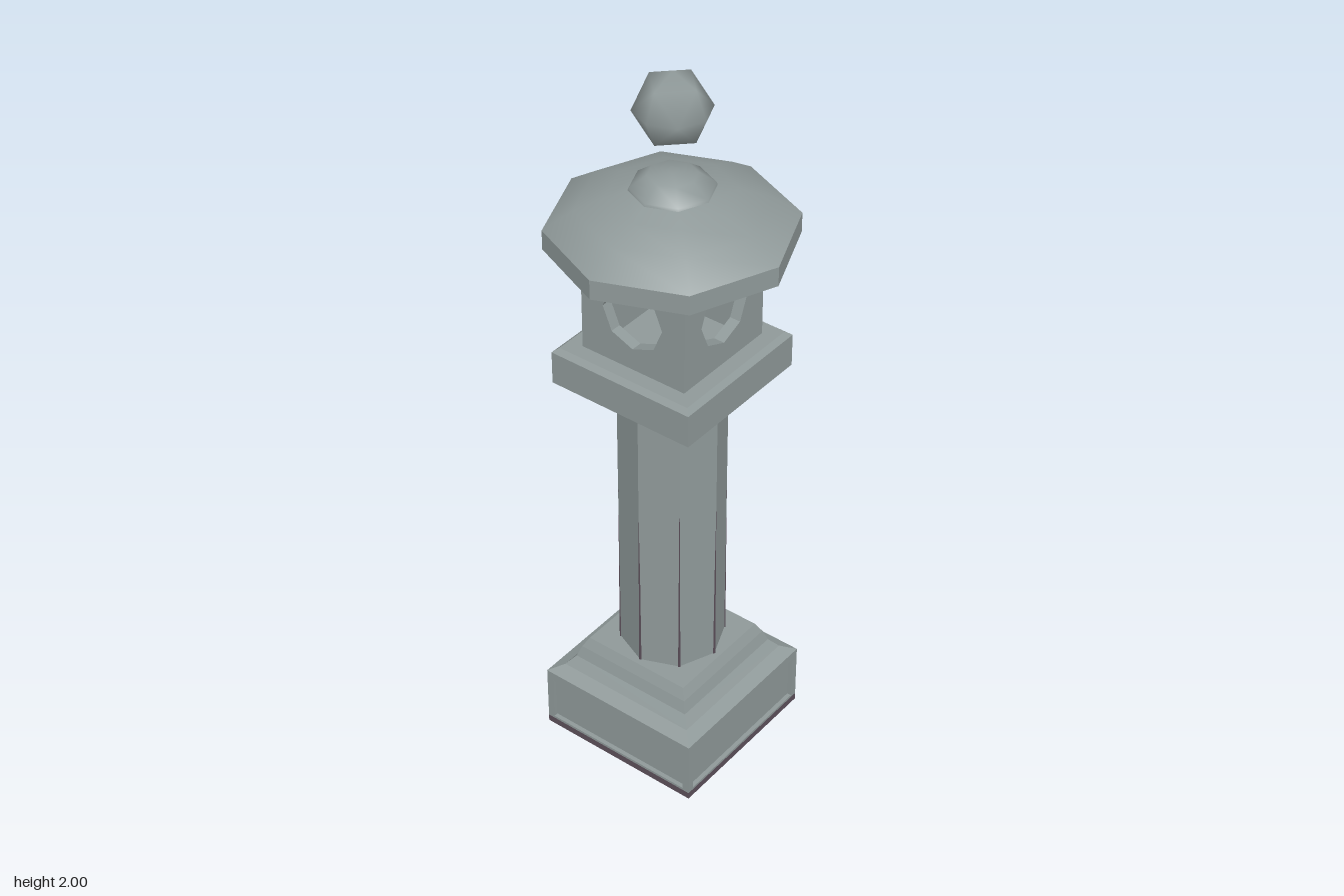
import * as THREE from 'three';
import { toCreasedNormals } from 'three/addons/utils/BufferGeometryUtils.js';

export function createModel() {
  const model = new THREE.Group();
  model.name = 'stoneLantern';
  const stone = new THREE.MeshStandardMaterial({ color: 0x8f9999 });
  stone.name = 'stone';
  const dark = new THREE.MeshStandardMaterial({ color: 0x5d505b });
  dark.name = 'dark stone';

  const add = (name, geometry, material = stone, parent = model) => {
    const mesh = new THREE.Mesh(geometry, material);
    mesh.name = name;
    parent.add(mesh);
    return mesh;
  };
  const group = (name) => {
    const g = new THREE.Group();
    g.name = name;
    model.add(g);
    return g;
  };
  // Turned solid with a given number of sides; profile is [radius, y]
  const turned = (profile, sides, crease) => toCreasedNormals(
    new THREE.LatheGeometry(profile.map(([r, y]) => new THREE.Vector2(r, y)), sides), crease);
  // Square solid; profile is [half width, y]
  const square = (profile) =>
    turned(profile.map(([h, y]) => [h * Math.SQRT2, y]), 4, 0.1).rotateY(Math.PI / 4);
  // Upright wall facing +z with a hole, its outer face at distance front
  const wall = (half, y0, y1, hole, depth, front) => {
    const shape = new THREE.Shape([
      new THREE.Vector2(-half, y0), new THREE.Vector2(half, y0),
      new THREE.Vector2(half, y1), new THREE.Vector2(-half, y1)]);
    shape.holes.push(new THREE.Path(hole));
    return new THREE.ExtrudeGeometry(shape, { depth, bevelEnabled: false })
      .translate(0, 0, front - depth);
  };
  const fourSides = (name, geometry, parent) => {
    for (let i = 0; i < 4; i++) add(name, geometry, stone, parent).rotation.y = i * Math.PI / 2;
  };

  // Base: dark foot, recessed side panels, concave shoulder
  const base = group('base');
  add('foot', square([[0, 0], [0.24, 0], [0.24, 0.02], [0, 0.02]]), dark, base);
  add('baseCore', square([[0.228, 0.02], [0.228, 0.18]]), stone, base);
  const panel = [[-0.22, 0.027], [-0.22, 0.16], [0.22, 0.16], [0.22, 0.027]]
    .map(([x, y]) => new THREE.Vector2(x, y));
  fourSides('panelFrame', wall(0.24, 0.02, 0.185, panel, 0.012, 0.24), base);
  add('baseShoulder', square([
    [0.24, 0.185], [0.205, 0.203], [0.183, 0.23], [0.172, 0.262], [0.157, 0.29], [0, 0.29]]), stone, base);

  // Eight-sided post with dark weathered edges near the foot
  const post = group('post');
  add('shaft', turned([[0.14, 0.28], [0.14, 1.1]], 8, 0.1), stone, post);
  for (let i = 0; i < 8; i++) {
    const a = i * Math.PI / 4;
    add('edgeStain', new THREE.CylinderGeometry(0.001, 0.004, 0.51, 4, 1, true), dark, post)
      .position.set(Math.sin(a) * 0.139, 0.545, Math.cos(a) * 0.139);
  }

  // Flared platform below the light chamber
  add('platform', square([
    [0, 1.09], [0.143, 1.09], [0.153, 1.112], [0.17, 1.128], [0.192, 1.142], [0.21, 1.147],
    [0.21, 1.238], [0.196, 1.25], [0, 1.25]]));

  // Hollow light chamber with an eight-sided window in each wall
  const chamber = group('lightChamber');
  const opening = [];
  for (let i = 0; i < 8; i++) {
    const a = -i * Math.PI / 4;
    opening.push(new THREE.Vector2(Math.cos(a) * 0.09, 1.4 + Math.sin(a) * 0.09));
  }
  fourSides('windowWall', wall(0.156, 1.25, 1.56, opening, 0.03, 0.156), chamber);

  // Eight-sided roof with a recessed underside, and its cap
  add('roof', turned([
    [0, 1.56], [0.272, 1.56], [0.285, 1.54], [0.31, 1.54], [0.31, 1.593],
    [0.235, 1.643], [0.16, 1.672], [0.1, 1.69]], 8, 0.7));
  add('roofCap', turned([[0.108, 1.682], [0.104, 1.695], [0.062, 1.726], [0, 1.73]], 8, 0.9));

  // Floating orb
  add('orb', new THREE.OctahedronGeometry(0.097, 1)).position.y = 1.903;

  return model;
}
